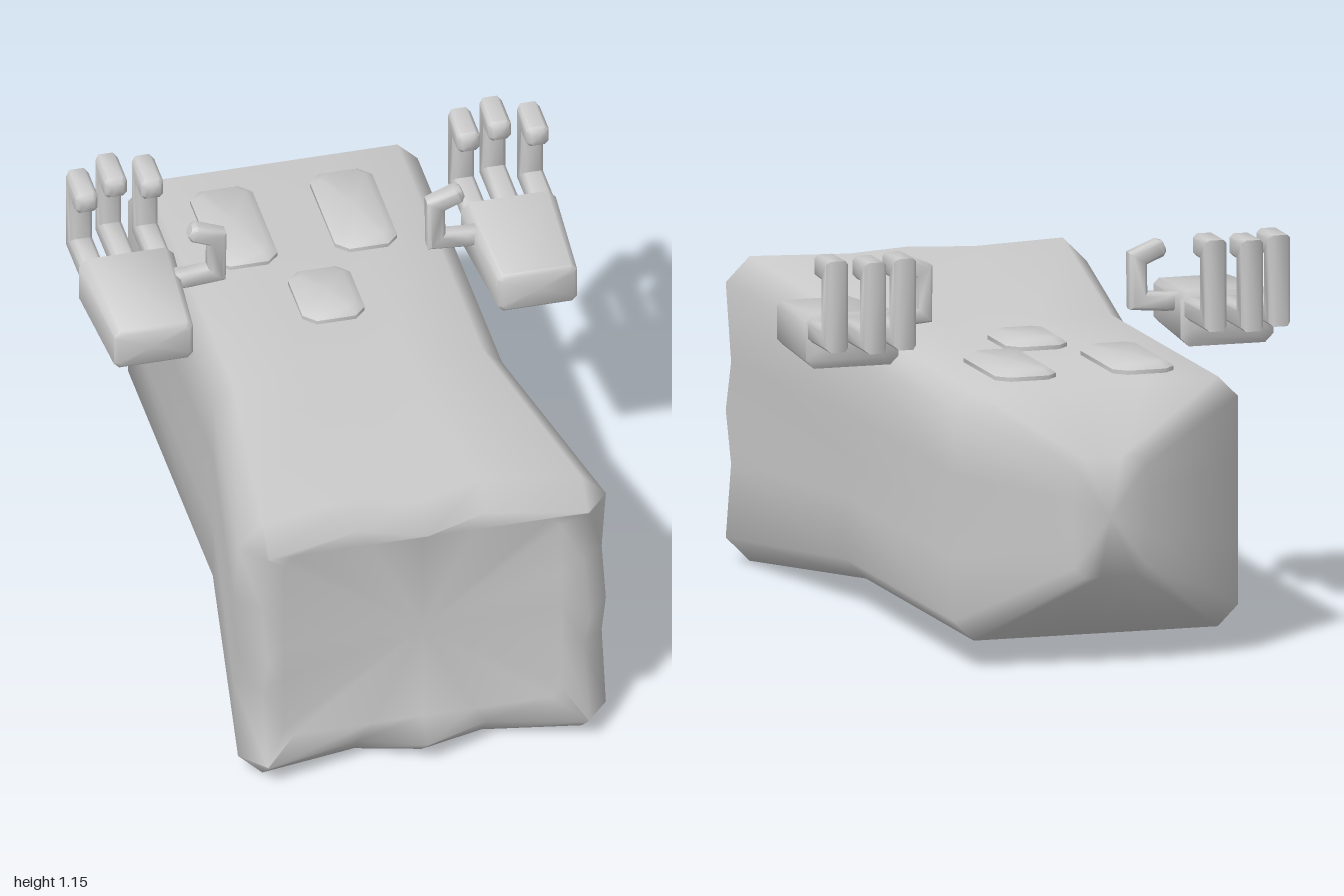
import * as THREE from 'three';
import { toCreasedNormals } from 'three/addons/utils/BufferGeometryUtils.js';

const V = (x, y, z) => new THREE.Vector3(x, y, z);
const material = new THREE.MeshStandardMaterial({ color: 0xcccccc });

// Skin equal-length rings (counter-clockwise about the direction of travel), capped at both ends.
function loft(rings, side = 1) {
  const n = rings[0].length, pos = [], index = [];
  const tri = (a, b, c) => (side > 0 ? index.push(a, b, c) : index.push(a, c, b));
  const put = (p) => pos.push(p.x * side, p.y, p.z);
  rings.forEach((ring) => ring.forEach(put));
  for (const ring of [rings[0], rings.at(-1)]) {
    put(ring.reduce((s, p) => s.add(p), V(0, 0, 0)).divideScalar(n));
  }
  const c = rings.length * n, last = c - n;
  for (let i = 0; i < n; i++) {
    const j = (i + 1) % n;
    for (let a = 0; a < last; a += n) {
      tri(a + i, a + j, a + n + j);
      tri(a + i, a + n + j, a + n + i);
    }
    tri(c, j, i);
    tri(c + 1, last + i, last + j);
  }
  const g = new THREE.BufferGeometry();
  g.setAttribute('position', new THREE.Float32BufferAttribute(pos, 3));
  g.setIndex(index);
  g.computeVertexNormals();
  return g;
}

// Rectangle with cut corners; steps place points along each straight edge.
function section(hx, hy, cut, steps = [-1, 1]) {
  const ex = hx - cut, ey = hy - cut;
  return [
    ...steps.map((t) => ({ x: t * ex, y: -hy, t })),
    ...steps.map((t) => ({ x: hx, y: t * ey, t })),
    ...steps.map((t) => ({ x: -t * ex, y: hy, t })),
    ...steps.map((t) => ({ x: -hx, y: -t * ey, t })),
  ];
}

const ring = (hx, hy, cut, z, cx = 0, cy = 0) =>
  section(hx, hy, cut).map((p) => V(p.x + cx, p.y + cy, z));

// Sweep a bevelled bar along a flat path with mitred bends; w is the path plane's normal.
function sweep(path, w, half, side) {
  const bevel = 0.014, end = path.length - 1;
  const dir = (i) => path[i + 1].clone().sub(path[i]).normalize();
  const rings = [];
  const add = (p, tangent, k, stretch = 1) => {
    const n = w.clone().cross(tangent).normalize();
    rings.push(section(half * k, half * k, half * k * 0.35).map((q) =>
      p.clone().addScaledVector(n, q.x * stretch).addScaledVector(w, q.y)));
  };
  path.forEach((p, i) => {
    if (i === 0) {
      add(p, dir(0), 0.65);
      add(p.clone().addScaledVector(dir(0), bevel), dir(0), 1);
    } else if (i === end) {
      add(p.clone().addScaledVector(dir(i - 1), -bevel), dir(i - 1), 1);
      add(p, dir(i - 1), 0.65);
    } else {
      const t = dir(i - 1).add(dir(i)).normalize();
      add(p, t, 1, 1 / t.dot(dir(i)));
    }
  });
  return loft(rings, side);
}

function mesh(name, geometry, crease) {
  const m = new THREE.Mesh(crease ? toCreasedNormals(geometry, crease) : geometry, material);
  m.name = name;
  return m;
}

// Sheet-like body lying on its back, with a scalloped hem towards +z.
function body() {
  const steps = [-1, -0.4, 0, 0.4, 1];
  const valley = (t) => (Math.abs(t) === 0.4 ? 1 : 0);
  const slice = (hx, hy, cut, z, dip = 0) =>
    section(hx, hy, cut, steps).map((p) => V(p.x - 0.004, p.y + 0.445, z - dip * valley(p.t)));
  return mesh('body', loft([
    slice(0.11, 0.175, 0.03, -1),
    slice(0.428, 0.365, 0.06, -0.86),
    slice(0.428, 0.365, 0.06, 0.15),
    slice(0.544, 0.445, 0.072, 0.92, 0.05),
    slice(0.476, 0.374, 0.004, 1, 0.07),
    slice(0.41, 0.32, 0.03, 0.93),
  ]));
}

// Raised face plate with bevelled rim, on the upward face of the body.
function plate(name, x, z, hx, hz) {
  const g = loft([
    ring(hx, hz, 0.035, -0.02),
    ring(hx, hz, 0.035, 0.012),
    ring(hx - 0.025, hz - 0.025, 0.025, 0.03),
  ]);
  g.rotateX(-Math.PI / 2).translate(x, 0.81, z);
  return mesh(name, g, 0.9);
}

function hand(side) {
  const group = new THREE.Group();
  group.name = side > 0 ? 'leftHand' : 'rightHand';

  // Palm tapering to the wrist
  group.add(mesh('palm', loft([
    ring(0.115, 0.055, 0.025, -0.362, 0.565, 0.88),
    ring(0.14, 0.08, 0.025, -0.345, 0.565, 0.88),
    ring(0.117, 0.064, 0.016, -0.01, 0.568, 0.876),
    ring(0.106, 0.053, 0.012, 0, 0.568, 0.876),
  ], side), 0.9));

  // Three hooked fingers: out, up, then curled back
  [[0.468, -0.55], [0.568, -0.582], [0.667, -0.53]].forEach(([x, z]) => {
    const path = [
      V(x, 0.912, -0.33), V(x, 0.912, z + 0.033),
      V(x, 1.113, z + 0.033), V(x, 1.113, z + 0.135),
    ];
    group.add(mesh('finger', sweep(path, V(1, 0, 0), 0.033, side), 0.9));
  });

  // Thumb pointing inwards and curling up
  const thumb = [
    V(0.47, 0.92, -0.248), V(0.41, 0.918, -0.248), V(0.325, 0.925, -0.248),
    V(0.323, 1.049, -0.248), V(0.403, 1.082, -0.248),
  ];
  group.add(mesh('thumb', sweep(thumb, V(0, 0, 1), 0.026, side), 0.9));
  return group;
}

export function createModel() {
  const model = new THREE.Group();
  model.name = 'ghost';
  model.add(
    body(),
    plate('rightEye', -0.19, -0.575, 0.092, 0.185),
    plate('leftEye', 0.164, -0.575, 0.092, 0.185),
    plate('mouth', -0.01, -0.198, 0.092, 0.122),
    hand(1),
    hand(-1),
  );
  return model;
}
